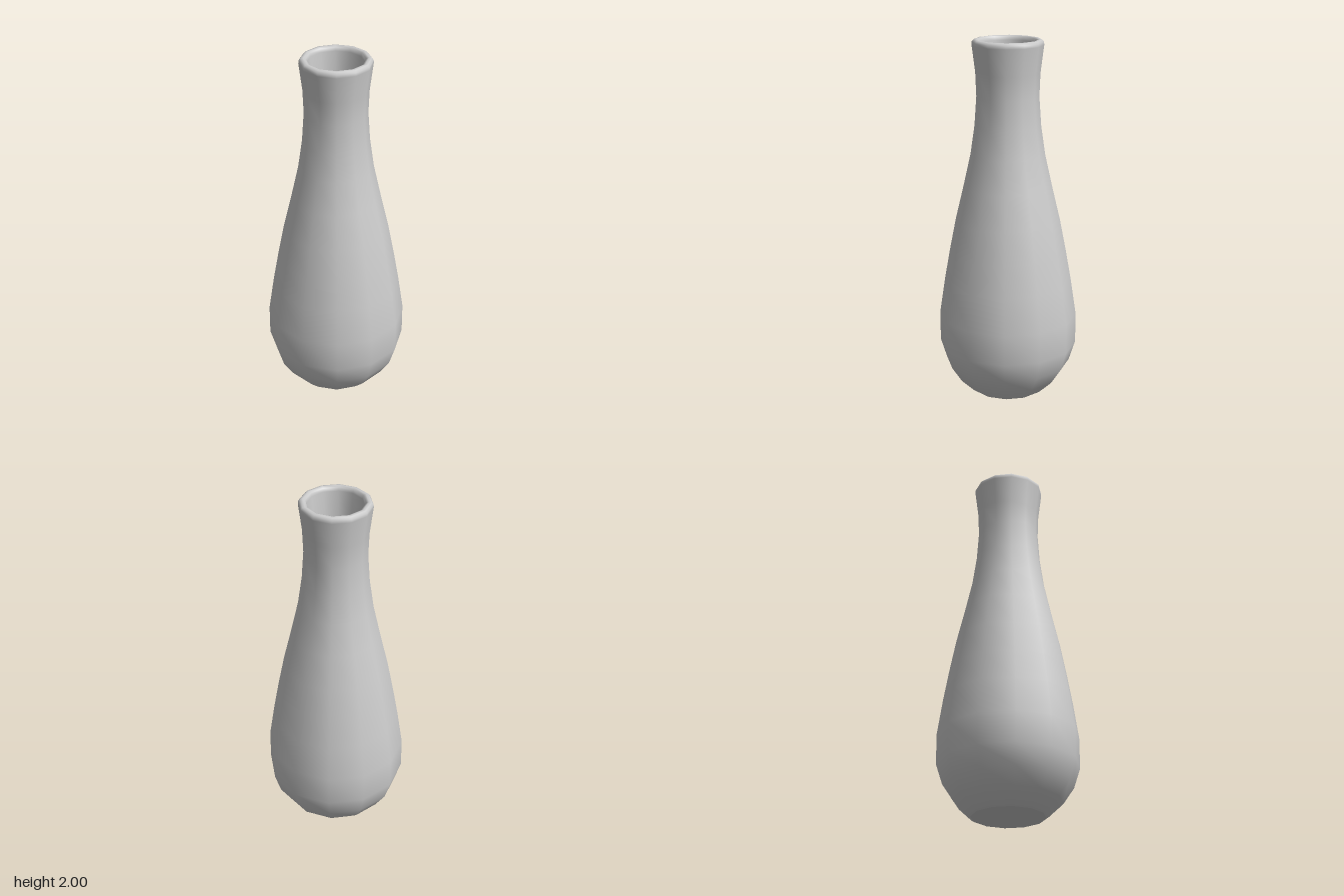
import * as THREE from 'three';

const SIDES = 12;
const material = new THREE.MeshStandardMaterial({ color: 0xcccccc });

// Revolves a list of [radius, height] pairs around the y axis.
function turned(name, profile) {
  const points = profile.map(([r, y]) => new THREE.Vector2(r, y));
  const mesh = new THREE.Mesh(new THREE.LatheGeometry(points, SIDES), material);
  mesh.name = name;
  return mesh;
}

export function createModel() {
  const vase = new THREE.Group();
  vase.name = 'vase';

  // Flat underside, kept separate so its edge stays sharp
  vase.add(turned('base', [[0, 0], [0.2, 0]]));

  // One smooth skin: up the outside, over the rounded lip, down the inside
  vase.add(turned('body', [
    // belly
    [0.2, 0], [0.215, 0.01], [0.29, 0.08], [0.35, 0.17], [0.385, 0.28], [0.385, 0.45],
    // shoulder and neck
    [0.355, 0.65], [0.325, 0.82], [0.29, 1.0], [0.245, 1.19], [0.205, 1.37],
    [0.182, 1.53], [0.171, 1.69], [0.176, 1.82],
    // lip
    [0.195, 1.97], [0.194, 1.987], [0.184, 1.998], [0.17, 2.0], [0.157, 1.994], [0.152, 1.975],
    // inner wall
    [0.14, 1.82], [0.135, 1.69], [0.146, 1.53], [0.17, 1.37], [0.21, 1.19], [0.255, 1.0],
    [0.29, 0.82], [0.32, 0.65], [0.35, 0.45], [0.35, 0.29], [0.318, 0.19], [0.26, 0.1],
    // inner floor
    [0.19, 0.045], [0, 0.04],
  ]));

  return vase;
}
